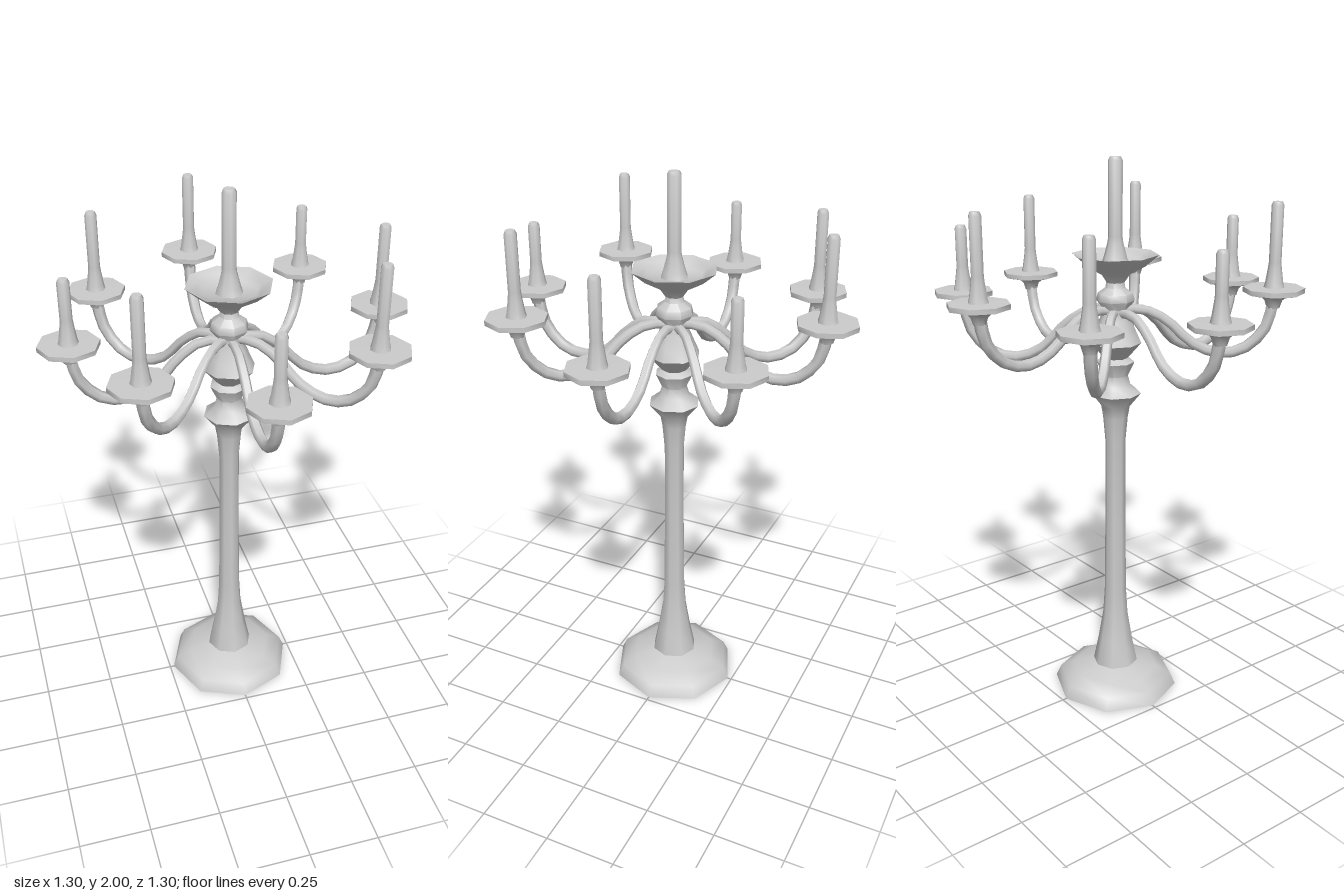
import * as THREE from 'three';
import { toCreasedNormals } from 'three/addons/utils/BufferGeometryUtils.js';

const material = new THREE.MeshStandardMaterial({ color: 0xcccccc, side: THREE.DoubleSide });

// Turned part from [radius, height] pairs, listed bottom to top along the outside
function turned(name, profile, sides = 8) {
  const points = profile.map(([r, y]) => new THREE.Vector2(r, y));
  const mesh = new THREE.Mesh(toCreasedNormals(new THREE.LatheGeometry(points, sides), 0.9), material);
  mesh.name = name;
  return mesh;
}

// Candle with a flared socket at its foot, standing on y = 0
function candle(height, r, foot) {
  return turned('candle', [
    [foot, 0], [foot * 0.85, 0.02], [r * 1.1, 0.07], [r, 0.09],
    [r, height - 0.012], [r * 0.75, height], [0, height],
  ]);
}

// Curved arm running out along +x, slimmer towards the column
function armTube(points) {
  const curve = new THREE.CatmullRomCurve3(points.map(([x, y]) => new THREE.Vector3(x, y, 0)));
  const segments = 14, sides = 6;
  const geometry = new THREE.TubeGeometry(curve, segments, 1, sides);
  const pos = geometry.attributes.position;
  const p = new THREE.Vector3(), c = new THREE.Vector3();
  for (let i = 0; i < pos.count; i++) {
    const t = Math.floor(i / (sides + 1)) / segments;
    curve.getPointAt(t, c);
    p.fromBufferAttribute(pos, i).sub(c).multiplyScalar(0.016 + 0.006 * t).add(c);
    pos.setXYZ(i, p.x, p.y, p.z);
  }
  geometry.computeVertexNormals();
  const mesh = new THREE.Mesh(toCreasedNormals(geometry, 1.1), material);
  mesh.name = 'armTube';
  return mesh;
}

const lowPath = [[0.02, 1.47], [0.1, 1.475], [0.18, 1.425], [0.265, 1.335], [0.36, 1.298],
  [0.45, 1.318], [0.52, 1.395], [0.543, 1.49]];
const highPath = [[0.02, 1.48], [0.1, 1.485], [0.18, 1.45], [0.265, 1.375], [0.36, 1.34],
  [0.45, 1.36], [0.52, 1.435], [0.543, 1.53]];

function arm(high, candleHeight) {
  const group = new THREE.Group();
  group.name = 'arm';
  group.add(armTube(high ? highPath : lowPath));

  const holder = new THREE.Group();
  holder.name = 'candleHolder';
  holder.position.set(0.543, high ? 1.56 : 1.52, 0);
  holder.add(turned('dripDish', [
    [0, -0.055], [0.022, -0.055], [0.03, -0.03], [0.045, -0.016], [0.105, -0.002], [0.105, 0.015], [0.03, 0.016], [0, 0.016],
  ]));
  const stick = candle(candleHeight, 0.021, 0.036);
  stick.position.y = 0.012;
  holder.add(stick);
  group.add(holder);
  return group;
}

export function createModel() {
  const model = new THREE.Group();
  model.name = 'candelabrum';

  // Hollow spreading foot
  model.add(turned('foot', [[0.235, 0], [0.215, 0.045], [0.16, 0.073], [0.085, 0.095]]));

  // Shaft with its turned knops
  model.add(turned('column', [
    [0.085, 0.09], [0.065, 0.19], [0.047, 0.3], [0.041, 0.4], [0.037, 0.75], [0.037, 1.0], [0.045, 1.09], [0.052, 1.13],
    [0.092, 1.18], [0.055, 1.21], [0.045, 1.245], [0.068, 1.295], [0.045, 1.31],
    [0.092, 1.365], [0.072, 1.41], [0.055, 1.45], [0.045, 1.485],
    [0.068, 1.515], [0.062, 1.54], [0.035, 1.56], [0.03, 1.59],
  ]));

  // Central bowl and candle
  model.add(turned('centreBowl', [
    [0.03, 1.575], [0.05, 1.605], [0.105, 1.635], [0.152, 1.675], [0.115, 1.66], [0.1, 1.645], [0, 1.645],
  ]));
  const main = candle(0.355, 0.025, 0.048);
  main.position.y = 1.645;
  model.add(main);

  // Eight arms, counted from +x towards -z: [raised, candle height]
  const arms = [
    [false, 0.29], [false, 0.23], [true, 0.29], [false, 0.29],
    [false, 0.23], [true, 0.29], [false, 0.23], [true, 0.29],
  ];
  arms.forEach(([high, candleHeight], i) => {
    const a = arm(high, candleHeight);
    a.rotation.y = (i * Math.PI) / 4;
    model.add(a);
  });
  return model;
}
